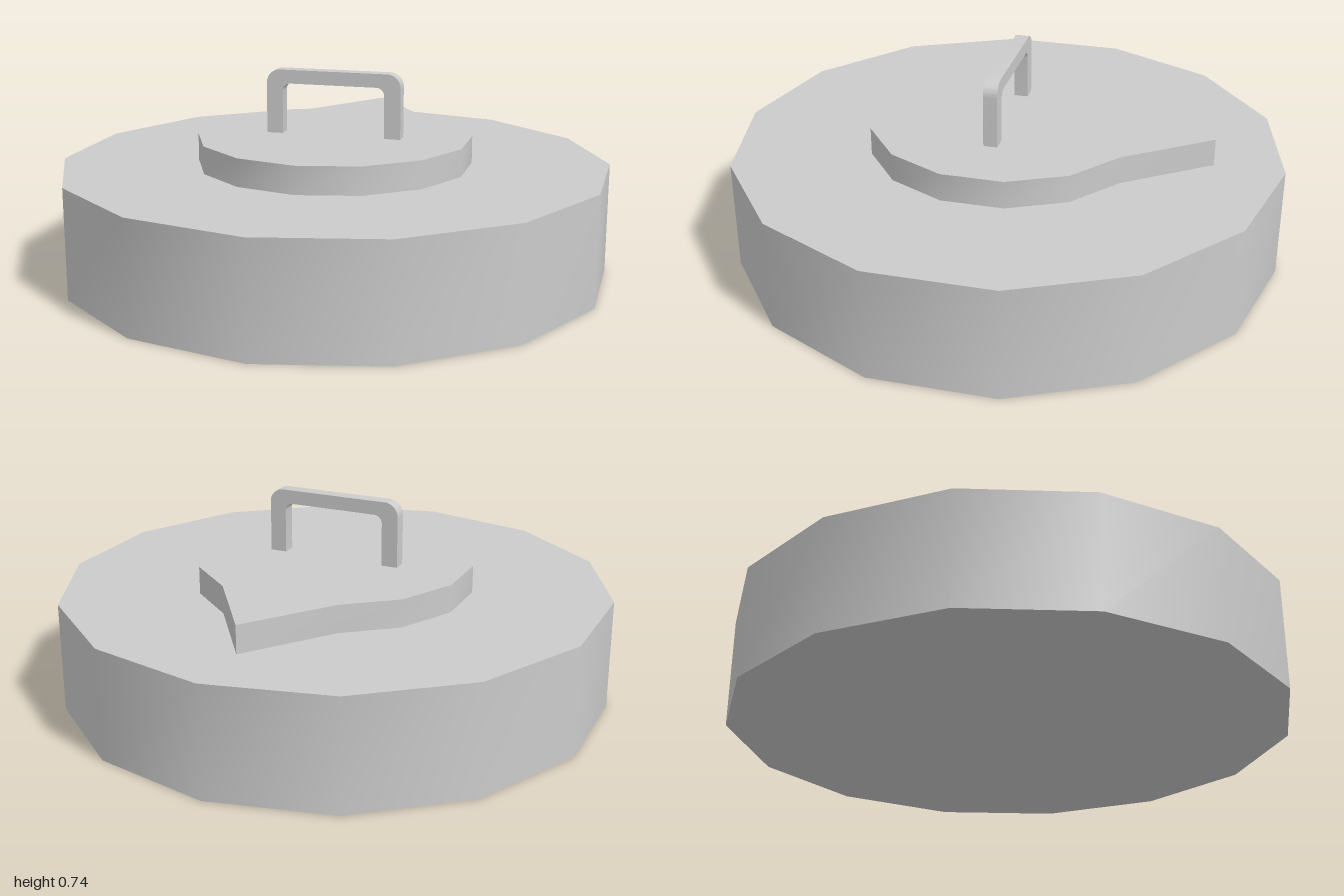
import * as THREE from 'three';
import { toCreasedNormals } from 'three/addons/utils/BufferGeometryUtils.js';

const SIDES = 14;
const material = new THREE.MeshStandardMaterial({ color: 0xcccccc });

function addPart(group, name, geometry) {
  const mesh = new THREE.Mesh(toCreasedNormals(geometry, Math.PI / 3), material);
  mesh.name = name;
  group.add(mesh);
}

// Upside-down U in the xy plane, with rounded corners
function archPath(shape, half, bottom, top, radius) {
  shape.moveTo(half, bottom);
  shape.lineTo(half, top - radius);
  shape.absarc(half - radius, top - radius, radius, 0, Math.PI / 2);
  shape.lineTo(radius - half, top);
  shape.absarc(radius - half, top - radius, radius, Math.PI / 2, Math.PI);
  shape.lineTo(-half, bottom);
  return shape;
}

export function createModel() {
  const group = new THREE.Group();

  // Base drum
  addPart(group, 'base', new THREE.CylinderGeometry(1, 1, 0.4, SIDES).translate(0, 0.2, 0));

  // Dial plate: a disc whose rear corner is pulled out into a pointer
  const dial = new THREE.CylinderGeometry(0.5, 0.5, 0.1, SIDES).translate(0, 0.45, 0);
  const pos = dial.attributes.position;
  for (let i = 0; i < pos.count; i++) {
    if (pos.getZ(i) < -0.49) pos.setZ(i, -0.75);
  }
  addPart(group, 'pointerDial', dial);

  // Handle: rounded arch with a constant depth
  const arch = archPath(new THREE.Shape(), 0.25, 0.5, 0.735, 0.05);
  const inner = archPath(new THREE.Path(), 0.19, 0.5, 0.685, 0.03).getPoints(6).reverse();
  inner.forEach((p) => arch.lineTo(p.x, p.y));
  const handle = new THREE.ExtrudeGeometry(arch, { depth: 0.05, bevelEnabled: false, curveSegments: 6 });
  addPart(group, 'handle', handle.translate(0, 0, -0.025));

  return group;
}
